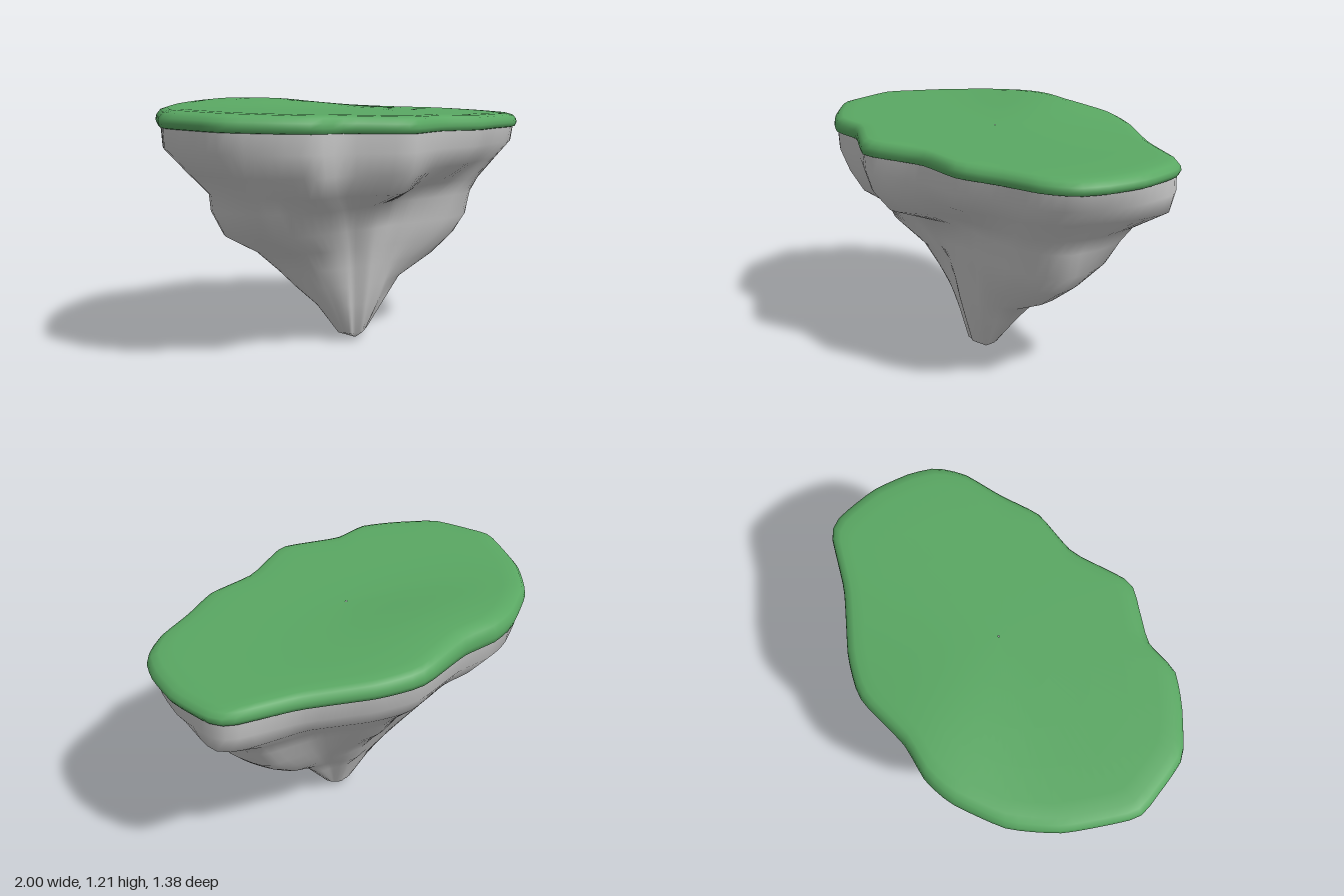
import * as THREE from 'three';

const SEG = 90;
const { smoothstep, lerp, euclideanModulo, radToDeg } = THREE.MathUtils;

// Plan outline of the island top [x, z], running from +x round past +z
const OUTLINE = [
  [1, -0.08], [0.98, 0.06], [0.89, 0.18], [0.71, 0.3], [0.54, 0.43], [0.29, 0.5], [0.04, 0.685],
  [-0.14, 0.66], [-0.28, 0.635], [-0.45, 0.685], [-0.62, 0.64], [-0.83, 0.54], [-0.94, 0.37],
  [-1, 0.24], [-0.94, -0.08], [-0.83, -0.3], [-0.64, -0.48], [-0.5, -0.55], [-0.31, -0.58],
  [-0.06, -0.68], [0.04, -0.69], [0.2, -0.67], [0.52, -0.58], [0.82, -0.54], [0.9, -0.47], [0.98, -0.27],
];
const outline = new THREE.CatmullRomCurve3(
  OUTLINE.map(([x, z]) => new THREE.Vector3(x, 0, z)), true, 'catmullrom', 0.25,
).getSpacedPoints(SEG).slice(0, SEG);

// Joins closed rings, listed in outward-facing order, into one smooth skin
function loft(rings) {
  const index = [];
  for (let i = 0; i < rings.length - 1; i++) {
    for (let j = 0; j < SEG; j++) {
      const k = (j + 1) % SEG;
      const a = i * SEG + j, b = i * SEG + k, c = a + SEG, d = b + SEG;
      index.push(a, c, b, b, c, d);
    }
  }
  const geometry = new THREE.BufferGeometry().setFromPoints(rings.flat());
  geometry.setIndex(index);
  geometry.computeVertexNormals();
  return geometry;
}

// Rock profiles: direction in degrees (0 = right end +x, 90 = front), then the
// reach from the tip's axis to the outline at each height
const AXIS = new THREE.Vector3(0.03, 0, 0.065);
const HEIGHTS = [0.04, 0.2, 0.3, 0.4, 0.5, 0.6, 0.72, 0.8, 0.9, 1.0];
const PROFILES = [
  [8, 0.06, 0.17, 0.24, 0.38, 0.52, 0.61, 0.66, 0.74, 0.86, 0.96],
  [36, 0.08, 0.19, 0.24, 0.28, 0.34, 0.4, 0.45, 0.6, 0.85, 0.96],
  [59, 0.1, 0.2, 0.26, 0.3, 0.35, 0.4, 0.45, 0.68, 0.88, 0.97],
  [89, 0.12, 0.19, 0.23, 0.26, 0.3, 0.35, 0.42, 0.79, 0.92, 0.97],
  [128, 0.12, 0.18, 0.22, 0.26, 0.32, 0.44, 0.6, 0.82, 0.91, 0.97],
  [151, 0.09, 0.18, 0.24, 0.33, 0.43, 0.64, 0.72, 0.77, 0.87, 0.97],
  [170, 0.1, 0.22, 0.33, 0.43, 0.54, 0.71, 0.77, 0.775, 0.87, 0.975],
  [219, 0.08, 0.18, 0.25, 0.34, 0.43, 0.52, 0.62, 0.7, 0.84, 0.96],
  [242, 0.08, 0.16, 0.26, 0.32, 0.42, 0.52, 0.62, 0.71, 0.86, 0.96],
  [271, 0.08, 0.16, 0.27, 0.33, 0.43, 0.55, 0.66, 0.75, 0.88, 0.96],
  [307, 0.07, 0.17, 0.27, 0.39, 0.49, 0.59, 0.69, 0.76, 0.89, 0.97],
  [329, 0.06, 0.19, 0.28, 0.45, 0.57, 0.67, 0.74, 0.8, 0.97, 0.985],
  [352, 0.07, 0.2, 0.28, 0.5, 0.64, 0.72, 0.74, 0.78, 0.87, 0.96],
];

// Reach at one height, interpolated between neighbouring profiles
function reach(level, p) {
  const angle = euclideanModulo(radToDeg(Math.atan2(p.z - AXIS.z, p.x - AXIS.x)), 360);
  const next = PROFILES.findIndex((q) => q[0] > angle);
  const b = PROFILES[Math.max(next, 0)];
  const a = next > 0 ? PROFILES[next - 1] : PROFILES[PROFILES.length - 1];
  const t = euclideanModulo(angle - a[0], 360) / euclideanModulo(b[0] - a[0], 360);
  return lerp(a[level + 1], b[level + 1], t);
}

// One rock ring; the upper rings follow the tilt of the ground
function rockRing(y, reachOf) {
  return outline.map((p) => {
    const v = AXIS.clone().lerp(p, reachOf(p));
    v.y = y - 0.03 * v.x * smoothstep(y, 0.9, 1.1);
    return v;
  });
}

// Tilted ground with a low rise towards the back left
const rimBottom = (x) => 1.08 - 0.025 * x;
const groundTop = (x, z) =>
  1.163 - 0.033 * x + 0.04 * Math.exp(-((x + 0.3) ** 2) / 0.2 - ((z + 0.42) ** 2) / 0.08);

// Grass rings: outline scale, height from rim bottom (0) to ground top (1)
const GRASS = [
  [0.9, 0.2], [0.965, 0.02], [0.99, 0.1], [1, 0.35], [0.995, 0.6], [0.975, 0.85], [0.94, 0.97],
  [0.87, 1], [0.7, 1], [0.5, 1], [0.3, 1], [0.12, 1], [0.005, 1],
];

function grassRing([scale, t]) {
  return outline.map((p) => {
    const x = p.x * scale, z = p.z * scale;
    return new THREE.Vector3(x, lerp(rimBottom(x), groundTop(x, z), t), z);
  });
}

export function createModel() {
  const group = new THREE.Group();
  group.name = 'floatingIsland';

  // Rock, from its blunt tip up into the grass
  const rock = new THREE.Mesh(
    loft([
      rockRing(0, () => 0.002),
      ...HEIGHTS.map((y, level) => rockRing(y, (p) => reach(level, p))),
      rockRing(1.12, () => 0.98),
    ]),
    new THREE.MeshStandardMaterial({ color: 0xcccccc }),
  );
  rock.name = 'rock';

  // Grass slab with a rounded rim
  const grass = new THREE.Mesh(
    loft(GRASS.map(grassRing)),
    new THREE.MeshStandardMaterial({ color: 0x5aa863 }),
  );
  grass.name = 'grassTop';

  group.add(rock, grass);
  return group;
}
